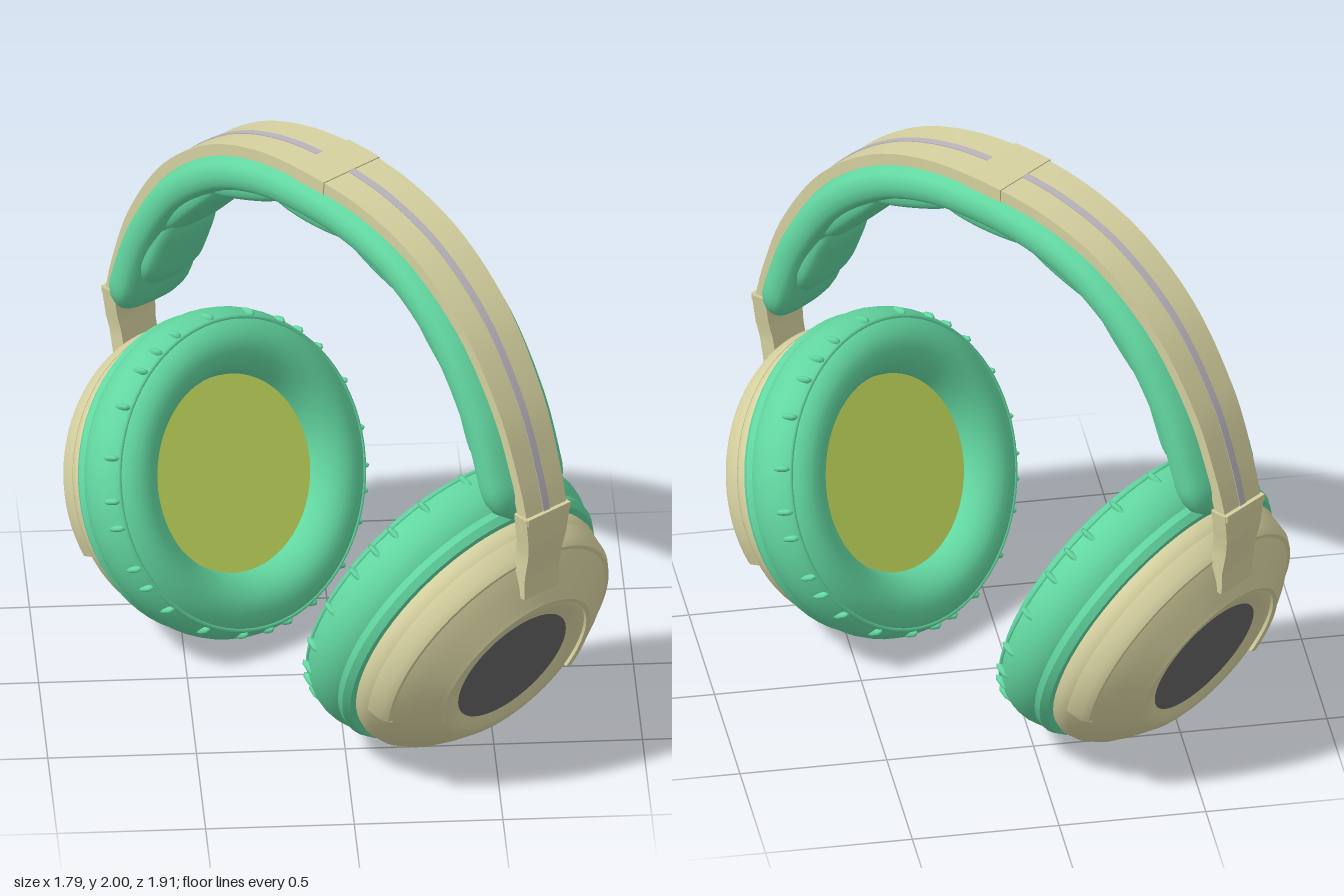
import * as THREE from 'three';
import { toCreasedNormals } from 'three/addons/utils/BufferGeometryUtils.js';

const mat = (color) => new THREE.MeshStandardMaterial({ color });
const beige = mat(0xd6d1a0), green = mat(0x62d6a0), lime = mat(0xc8e060);
const dark = mat(0x666666), lilac = mat(0xb9b4bb);
const V2 = (x, y) => new THREE.Vector2(x, y);

function add(parent, name, geometry, material) {
  const mesh = new THREE.Mesh(geometry, material);
  mesh.name = name;
  parent.add(mesh);
  return mesh;
}

// Skin a list of closed rings, with fan caps at both ends
function loft(rings, crease = 0.6) {
  const n = rings[0].length, pos = [], idx = [];
  rings.forEach((ring) => ring.forEach((p) => pos.push(p.x, p.y, p.z)));
  for (let i = 0; i < rings.length - 1; i++) {
    for (let j = 0; j < n; j++) {
      const a = i * n + j, b = i * n + (j + 1) % n;
      idx.push(a, b, b + n, a, b + n, a + n);
    }
  }
  [0, rings.length - 1].forEach((i) => {
    const c = new THREE.Vector3();
    rings[i].forEach((p) => c.addScaledVector(p, 1 / n));
    const k = pos.length / 3;
    pos.push(c.x, c.y, c.z);
    for (let j = 0; j < n; j++) {
      const a = i * n + j, b = i * n + (j + 1) % n;
      if (i === 0) idx.push(k, b, a); else idx.push(k, a, b);
    }
  });
  const g = new THREE.BufferGeometry();
  g.setAttribute('position', new THREE.Float32BufferAttribute(pos, 3));
  g.setIndex(idx);
  return toCreasedNormals(g, crease);
}

// Sweep a section of [outward, sideways] points along a curve in the XY plane
function sweep(curve, t0, t1, steps, section, crease) {
  const rings = [];
  for (let i = 0; i <= steps; i++) {
    const t = t0 + (t1 - t0) * i / steps;
    const p = curve.getPointAt(t), d = curve.getTangentAt(t);
    rings.push(section(t, i / steps).map(([o, z]) =>
      new THREE.Vector3(p.x - d.y * o, p.y + d.x * o, z)));
  }
  return loft(rings, crease);
}

const rect = (lo, hi, w) => [[hi, -w], [hi, w], [lo, w], [lo, -w]];

// Rounded section between two depths
function pillow(lo, hi, w, count = 24) {
  const out = [];
  for (let i = 0; i < count; i++) {
    const a = i / count * Math.PI * 2, c = Math.cos(a), s = Math.sin(a);
    out.push([(lo + hi) / 2 + (hi - lo) / 2 * Math.sign(c) * Math.abs(c) ** 0.7,
      w * Math.sign(s) * Math.abs(s) ** 0.7]);
  }
  return out;
}

// Round off the two ends of a sweep
const taper = (u, len) => {
  const d = Math.min(1, Math.min(u, 1 - u) / len);
  return Math.max(0.08, Math.sqrt(1 - (1 - d) ** 2));
};

function lathe(points, crease = 0.5) {
  const g = new THREE.LatheGeometry(points.map(([r, s]) => V2(r, s)), 64);
  g.rotateX(Math.PI / 2);
  return toCreasedNormals(g, crease);
}

function makeHeadband() {
  const band = new THREE.Group();
  band.name = 'headband';
  const half = [[0.27, 1.97], [0.52, 1.88], [0.75, 1.7], [0.92, 1.45], [1.01, 1.22], [1.05, 1.07]];
  const pts = [...half.map(([x, y]) => V2(-x, y)).reverse(), V2(0, 1.995), ...half.map(([x, y]) => V2(x, y))];
  const curve = new THREE.SplineCurve(pts);
  curve.arcLengthDivisions = 600;
  const width = (t) => 0.125 - 0.035 * Math.abs(2 * t - 1);

  add(band, 'outerStrap', sweep(curve, 0, 1, 64, (t) => rect(-0.045, 0, width(t))), beige);
  add(band, 'strapStripe', sweep(curve, 0.005, 0.995, 64, () => rect(-0.01, 0.003, 0.014)), lilac);
  add(band, 'strapJoint', sweep(curve, 0.475, 0.525, 6, () => rect(-0.045, 0.004, 0.128)), beige);

  // Smooth cushion with a row of puffed pads beneath
  add(band, 'cushion', sweep(curve, 0.0, 1.0, 90, (t, u) => {
    const k = taper(u, 0.045);
    return pillow(-0.1 - 0.075 * k, -0.1 + 0.07 * k, 0.165 * (0.4 + 0.6 * k));
  }, 1.2), green);
  add(band, 'innerPads', sweep(curve, 0.04, 0.96, 112, (t, u) => {
    const k = taper(u, 0.06), puff = Math.abs(Math.sin(u * Math.PI * 7)) ** 0.5;
    return pillow(-0.13 - (0.05 + 0.035 * puff) * k, -0.09, (0.12 + 0.015 * puff) * k);
  }, 1.0), green);
  return band;
}

function makeEarCup() {
  const cup = new THREE.Group();
  cup.name = 'earCup';

  // Ear pad with a seam and small creases
  const ring = [];
  for (let i = 0; i <= 28; i++) {
    const a = i / 28 * Math.PI * 2;
    ring.push([0.445 + 0.115 * Math.cos(a), 0.135 * Math.sin(a)]);
  }
  add(cup, 'earPad', lathe(ring, 1), green);
  add(cup, 'earPadSeam', new THREE.TorusGeometry(0.527, 0.009, 6, 80), green).position.z = -0.093;
  const crease = new THREE.SphereGeometry(1, 8, 6);
  for (let i = 0; i < 26; i++) {
    const a = (i + 0.3 * Math.sin(i * 5)) / 26 * Math.PI * 2;
    const m = add(cup, 'padCrease', crease, green);
    m.position.set(0.54 * Math.cos(a), 0.54 * Math.sin(a), -0.06);
    m.rotation.z = a;
    m.scale.set(0.018, 0.012, 0.045);
  }
  add(cup, 'padBase', lathe([[0.42, 0.03], [0.535, 0.05], [0.54, 0.105], [0.525, 0.13], [0.44, 0.135]]), green);
  const disc = add(cup, 'speakerCover', new THREE.CircleGeometry(0.335, 56), lime);
  disc.rotation.y = Math.PI;
  disc.position.z = -0.045;

  // Housing shell with a sunken round plate
  add(cup, 'housing', lathe([[0, 0.0], [0.44, 0.02], [0.5, 0.12], [0.507, 0.16], [0.495, 0.2], [0.46, 0.245],
    [0.4, 0.293], [0.33, 0.34], [0.3, 0.352], [0.275, 0.352], [0.245, 0.342], [0.228, 0.336], [0, 0.336]], 0.7), beige);
  add(cup, 'outerPlate', new THREE.CircleGeometry(0.232, 56), dark).position.z = 0.343;

  // Raised arched bracket, its two ends cut level
  const profile = [[0.3, 0.3], [0.305, 0.362], [0.32, 0.366], [0.335, 0.355], [0.41, 0.312],
    [0.46, 0.27], [0.475, 0.27], [0.492, 0.245], [0.5, 0.19], [0.45, 0.18]];
  const rings = [];
  for (let i = 0; i <= 48; i++) {
    rings.push(profile.map(([r, s]) => {
      const start = Math.asin(-0.13 / r);
      const a = start + (Math.PI - 2 * start) * i / 48;
      return new THREE.Vector3(r * Math.cos(a), r * Math.sin(a), s);
    }));
  }
  add(cup, 'bracket', loft(rings, 0.5), beige);
  return cup;
}

function makeSide() {
  const side = new THREE.Group();
  side.name = 'side';

  // Tilt the cup so its outer face looks outward and down
  const cup = makeEarCup(), c = Math.cos(0.384), s = Math.sin(0.384);
  cup.applyMatrix4(new THREE.Matrix4().makeBasis(
    new THREE.Vector3(0, 0, -1), new THREE.Vector3(s, c, 0), new THREE.Vector3(c, -s, 0)));
  cup.position.set(0.556, 0.542, 0);
  side.add(cup);

  // Arm joining band and bracket
  const arm = new THREE.CurvePath();
  const p = [V2(1.055, 1.09), V2(1.05, 0.98), V2(1.022, 0.84), V2(1.02, 0.76)];
  for (let i = 0; i < 3; i++) arm.add(new THREE.LineCurve(p[i], p[i + 1]));
  add(side, 'arm', sweep(arm, 0, 1, 12, (t) => rect(-0.06, 0, 0.1 - 0.022 * Math.min(1, t * 2))), beige);
  add(side, 'armCollar', new THREE.BoxGeometry(0.07, 0.025, 0.19), beige).position.set(1.025, 1.08, 0);
  return side;
}

export function createModel() {
  const model = new THREE.Group();
  model.name = 'headphones';
  const body = new THREE.Group();
  body.name = 'body';
  body.add(makeHeadband());
  [0, Math.PI].forEach((turn, i) => {
    const side = makeSide();
    side.name = i ? 'rightSide' : 'leftSide';
    side.rotation.y = turn;
    body.add(side);
  });
  // The whole headset stands at an angle
  body.rotation.y = -0.89;
  model.add(body);
  return model;
}
